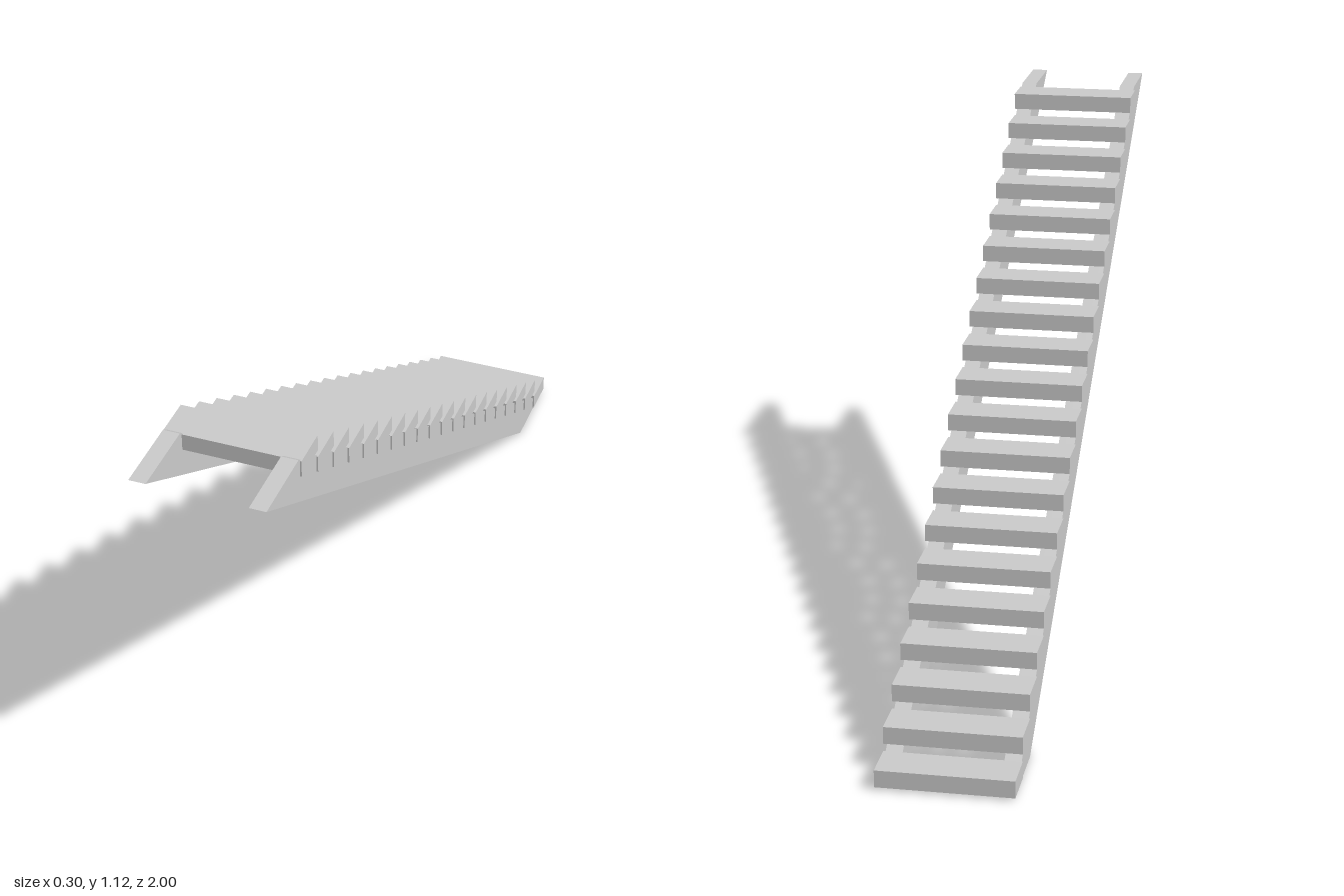
import * as THREE from 'three';

const STEPS = 20, RISE = 0.0559, RUN = 0.091;
const TREAD = { width: 0.3, height: 0.039, depth: 0.091 };
const TOP = 1.115;

export function createModel() {
  const stairs = new THREE.Group();
  stairs.name = 'openStaircase';
  const material = new THREE.MeshStandardMaterial({ color: 0xcccccc, flatShading: true });

  // Sloping side beams, cut level at the floor and at the landing
  const thickness = 0.037;
  const profile = new THREE.Shape([
    new THREE.Vector2(-0.968, 0),
    new THREE.Vector2(-0.796, 0),
    new THREE.Vector2(1, TOP),
    new THREE.Vector2(0.828, TOP),
  ]);
  const beamGeometry = new THREE.ExtrudeGeometry(profile, { depth: thickness, bevelEnabled: false });
  beamGeometry.translate(0, 0, -thickness / 2).rotateY(-Math.PI / 2); // profile x becomes z
  for (const side of [-1, 1]) {
    const beam = new THREE.Mesh(beamGeometry, material);
    beam.name = side > 0 ? 'leftStringer' : 'rightStringer';
    beam.position.x = side * 0.128;
    stairs.add(beam);
  }

  // Treads climbing from the back towards the front
  const treadGeometry = new THREE.BoxGeometry(TREAD.width, TREAD.height, TREAD.depth);
  for (let i = 0; i < STEPS; i++) {
    const tread = new THREE.Mesh(treadGeometry, material);
    tread.name = `tread${i + 1}`;
    tread.position.set(0, 0.006 + TREAD.height / 2 + i * RISE, -1 + TREAD.depth / 2 + i * RUN);
    stairs.add(tread);
  }
  return stairs;
}
